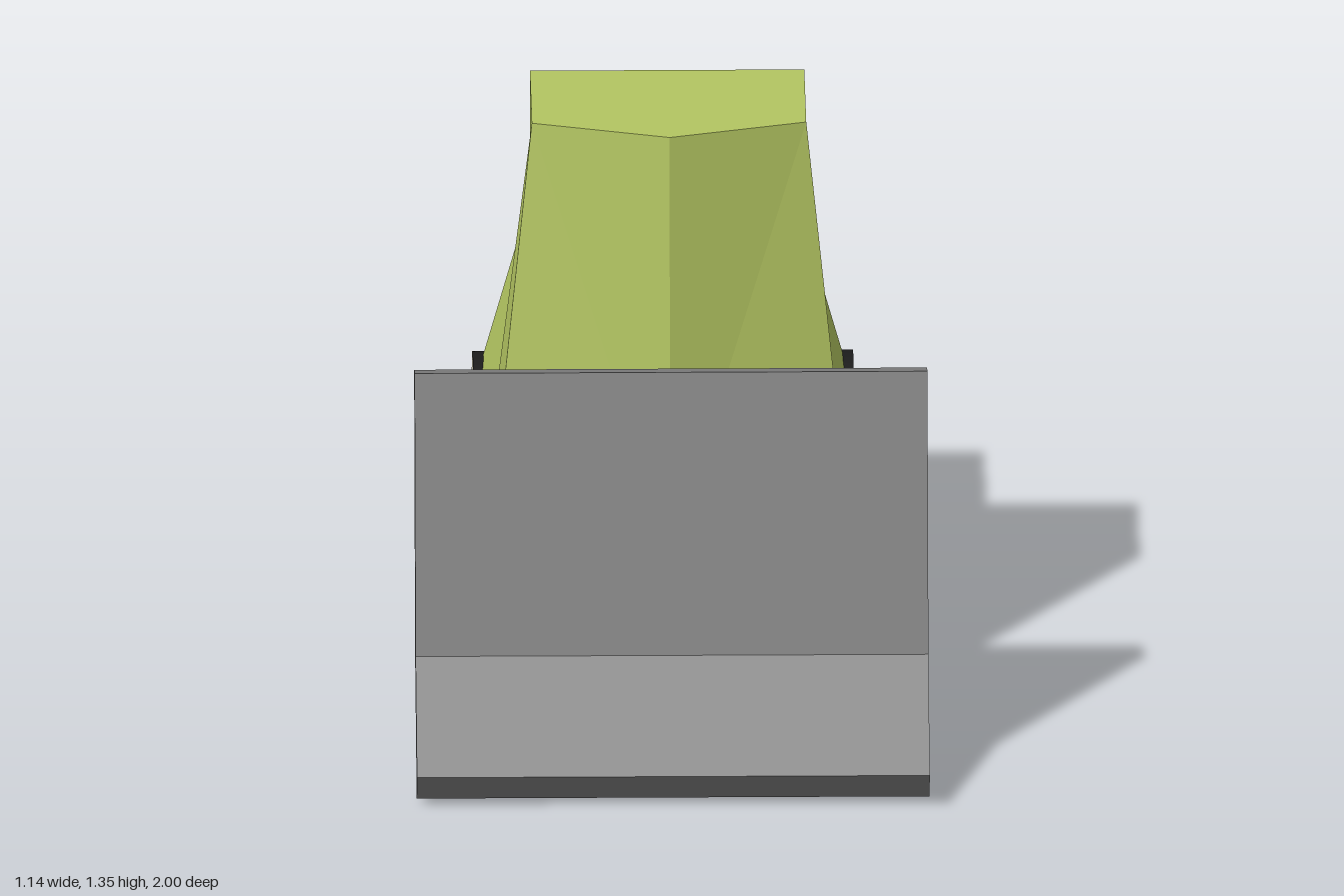
import * as THREE from 'three';

const paint = (name, color, extra = {}) => {
  const m = new THREE.MeshStandardMaterial({ color, ...extra });
  m.name = name;
  return m;
};

// Flat-shaded solid from named corner points and convex, counter-clockwise faces
function facetedSolid(points, faces) {
  const pos = [];
  for (const face of faces) {
    const k = face.split(' ');
    for (let i = 1; i < k.length - 1; i++) {
      pos.push(...points[k[0]], ...points[k[i]], ...points[k[i + 1]]);
    }
  }
  const geo = new THREE.BufferGeometry();
  geo.setAttribute('position', new THREE.Float32BufferAttribute(pos, 3));
  geo.computeVertexNormals();
  return geo;
}

export function createModel() {
  const group = new THREE.Group();
  group.name = 'bulldozer';
  const green = paint('green paint', 0xb4c662);
  const steel = paint('grey steel', 0x808080, { flatShading: true });
  const rubber = paint('black rubber', 0x1c1c1c);
  const hub = paint('beige hub', 0xcac6ae);

  const add = (name, geo, mat, x = 0, y = 0, z = 0) => {
    const mesh = new THREE.Mesh(geo, mat);
    mesh.name = name;
    mesh.position.set(x, y, z);
    group.add(mesh);
    return mesh;
  };

  // Body: tapered hood and cab with a pointed nose; L is +x, R is -x
  const p = { nose: [0, 0.39, 0.42], peak: [0, 1.35, 0.34] };
  for (const [side, s] of [['L', 1], ['R', -1]]) {
    p['rear' + side] = [0.405 * s, 0.39, -0.81];
    p['mid' + side] = [0.405 * s, 0.39, -0.09];
    p['front' + side] = [0.405 * s, 0.39, 0.325];
    p['hoodRear' + side] = [0.305 * s, 0.745, -0.81];
    p['hoodFront' + side] = [0.305 * s, 0.745, -0.09];
    p['roofRear' + side] = [0.305 * s, 1.35, -0.09];
    p['roofFront' + side] = [0.305 * s, 1.35, 0.245];
  }
  add('body', facetedSolid(p, [
    // left side
    'frontL rearL hoodRearL hoodFrontL',
    'frontL hoodFrontL roofFrontL',
    'hoodFrontL roofRearL roofFrontL',
    // right side
    'rearR midR hoodFrontR hoodRearR',
    'midR frontR roofFrontR',
    'midR roofFrontR hoodFrontR',
    'hoodFrontR roofFrontR roofRearR',
    // front
    'nose frontL roofFrontL',
    'nose roofFrontL peak',
    'frontR nose roofFrontR',
    'nose peak roofFrontR',
    // roof, cab back, hood, rear and underside
    'peak roofFrontL roofRearL roofRearR roofFrontR',
    'hoodFrontL hoodFrontR roofRearR roofRearL',
    'hoodFrontR hoodFrontL hoodRearL hoodRearR',
    'rearL rearR hoodRearR hoodRearL',
    'rearR rearL frontL nose frontR',
  ]), green);

  // Chassis beam between the wheels
  add('chassis', new THREE.BoxGeometry(0.26, 0.145, 1.27), green, 0, 0.3125, -0.265);

  // Wheels with beige faces, and the arms that carry the blade
  const wheelGeo = new THREE.CylinderGeometry(0.205, 0.205, 0.295, 48);
  wheelGeo.rotateZ(Math.PI / 2);
  for (const [side, s] of [['left', 1], ['right', -1]]) {
    for (const [end, z] of [['front', 0.27], ['rear', -0.795]]) {
      add(`${side} ${end} wheel`, wheelGeo, [rubber, hub, hub], 0.2755 * s, 0.205, z);
    }
    add(`${side} blade arm`, new THREE.BoxGeometry(0.045, 0.085, 0.21), green, 0.073 * s, 0.658, 0.475);
  }

  // Bent dozer blade: side profile (z, y) extruded across the width
  const profile = [[0.51, 0.865], [0.587, 0.885], [0.757, 0.277], [1.0, 0.08], [0.95, 0.012], [0.675, 0.25]];
  const shape = new THREE.Shape(profile.map(([z, y]) => new THREE.Vector2(z, y)));
  const bladeGeo = new THREE.ExtrudeGeometry(shape, { depth: 1.14, bevelEnabled: false });
  bladeGeo.rotateY(-Math.PI / 2);
  add('blade', bladeGeo, steel, 0.57);

  return group;
}
